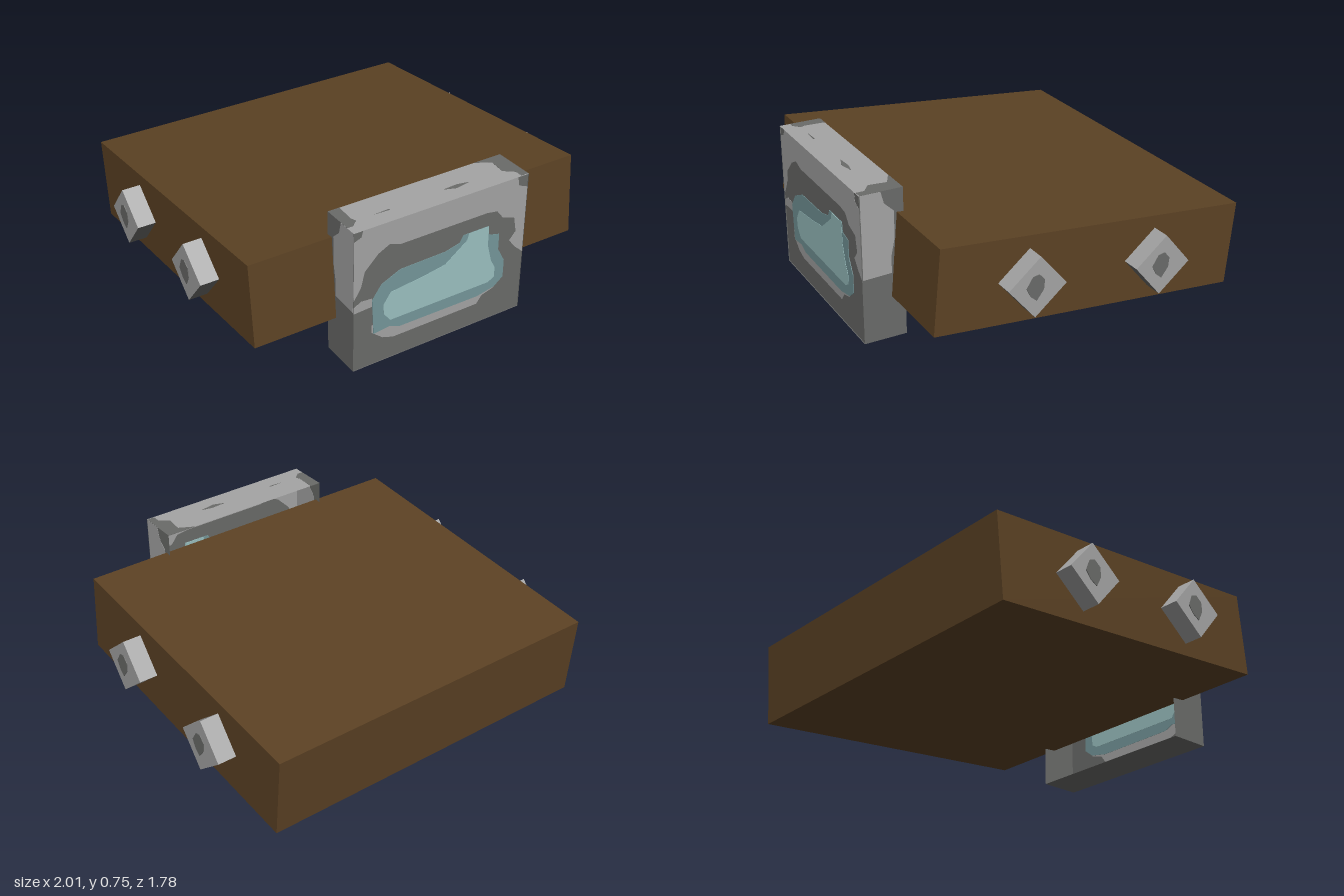
import * as THREE from 'three';

const mat = (name, color, side = THREE.FrontSide) => {
  const m = new THREE.MeshStandardMaterial({ color, side });
  m.name = name;
  return m;
};

export function createModel() {
  const brown = mat('brown', 0x5c4224);
  const light = mat('lightGrey', 0xa4a4a4, THREE.DoubleSide);
  const dark = mat('darkGrey', 0x6a6b69, THREE.DoubleSide);
  const teal = mat('teal', 0x75979a);
  const paleTeal = mat('paleTeal', 0x9bc1c1);

  const model = new THREE.Group();
  const add = (parent, name, geometry, material) => {
    const mesh = new THREE.Mesh(geometry, material);
    mesh.name = name;
    parent.add(mesh);
    return mesh;
  };
  // thin plate centred on its own plane, so it shows on both sides of a wall
  const plate = (points, thick) =>
    new THREE.ExtrudeGeometry(new THREE.Shape(points.map(p => new THREE.Vector2(...p))),
      { depth: thick, bevelEnabled: false }).translate(0, 0, -thick / 2);

  // tilted body with four diamond bolts
  const body = new THREE.Group();
  body.name = 'body';
  body.position.set(0, 0.355, -0.075);
  body.rotation.x = -0.0875;
  model.add(body);
  add(body, 'bodyBlock', new THREE.BoxGeometry(1.81, 0.421, 1.6), brown);
  const spot = [[0, 0.064], [0.03, 0.036], [0.03, -0.012], [-0.002, -0.064],
    [-0.036, -0.04], [-0.06, 0], [-0.032, 0.055]];
  for (const s of [-1, 1]) {
    for (const z of [0.35, -0.327]) {
      const bolt = new THREE.Group();
      bolt.name = 'bolt';
      bolt.position.set(s * 0.95, 0, z);
      body.add(bolt);
      const block = add(bolt, 'boltBlock', new THREE.BoxGeometry(0.1, 0.21, 0.21),
        [light, light, light, light, dark, light]);
      block.rotation.x = Math.PI / 4;
      const mark = add(bolt, 'boltSpot', plate(spot, 0.006), dark);
      mark.position.x = s * 0.05;
      mark.rotation.y = s * Math.PI / 2;
    }
  }

  // front panel: a shallow shell, open at the back
  const W = 0.96, H = 0.75, Z0 = 0.67, Z1 = 0.885, D = Z1 - Z0;
  const panel = new THREE.Group();
  panel.name = 'frontPanel';
  model.add(panel);
  const face = new THREE.Group();
  face.name = 'panelFace';
  face.position.z = Z1 - 0.004;
  panel.add(face);
  add(face, 'faceSheet', new THREE.PlaneGeometry(W, H).translate(0, H / 2, 0), dark);
  add(face, 'upperPatch', plate([[-0.43, 0.75], [0.42, 0.75], [0.43, 0.70], [0.48, 0.68],
    [0.48, 0.32], [0.43, 0.365], [0.395, 0.41], [0.43, 0.45], [0.415, 0.53], [0.345, 0.555],
    [0.31, 0.6], [0.25, 0.61], [-0.23, 0.61], [-0.29, 0.63], [-0.35, 0.6], [-0.42, 0.53],
    [-0.44, 0.45], [-0.48, 0.385], [-0.48, 0.70], [-0.44, 0.715]], 0.002), light);
  add(face, 'leftPatch', plate([[-0.48, 0.35], [-0.44, 0.375], [-0.38, 0.37], [-0.38, 0.325],
    [-0.48, 0.32]], 0.002), light);
  add(face, 'lowerPatch', plate([[-0.38, 0.18], [-0.32, 0.13], [-0.26, 0.11], [0.22, 0.11],
    [0.25, 0.15], [0.32, 0.17], [0.3, 0.22], [-0.38, 0.22]], 0.002), light);
  add(face, 'glowPatch', plate([[-0.38, 0.36], [-0.33, 0.43], [-0.23, 0.475], [0.02, 0.48],
    [0.1, 0.5], [0.12, 0.535], [0.265, 0.535], [0.27, 0.485], [0.33, 0.47], [0.33, 0.385],
    [0.37, 0.31], [0.37, 0.215], [0.32, 0.175], [0.22, 0.155], [-0.23, 0.158],
    [-0.28, 0.18], [-0.37, 0.17]], 0.005), teal);
  add(face, 'glowCore', plate([[-0.32, 0.31], [-0.28, 0.37], [-0.1, 0.39], [0.02, 0.41],
    [0.1, 0.47], [0.14, 0.5], [0.15, 0.535], [0.265, 0.535], [0.265, 0.43], [0.29, 0.335],
    [0.315, 0.29], [0.315, 0.235], [0.28, 0.215], [-0.28, 0.215], [-0.315, 0.26]], 0.008), paleTeal);

  // side walls with a light upper patch (patch x runs back to front)
  const sidePatch = [[0.88, 0.75], [0.78, 0.75], [0.765, 0.69], [0.718, 0.645], [0.718, 0.51],
    [0.737, 0.42], [0.737, 0.335], [0.88, 0.33]];
  for (const s of [-1, 1]) {
    const wall = new THREE.Group();
    wall.name = 'panelSide';
    wall.position.x = s * W / 2;
    wall.rotation.y = -Math.PI / 2;
    panel.add(wall);
    add(wall, 'sideSheet', new THREE.PlaneGeometry(D, H).translate((Z0 + Z1) / 2, H / 2, 0), dark);
    add(wall, 'sidePatch', plate(sidePatch, 0.002), light);
  }

  // top and bottom walls; top patches use (x, z) coordinates
  const top = new THREE.Group();
  top.name = 'panelTop';
  top.position.y = H;
  top.rotation.x = Math.PI / 2;
  panel.add(top);
  const sheet = () => new THREE.PlaneGeometry(W, D).translate(0, (Z0 + Z1) / 2, 0);
  add(top, 'topSheet', sheet(), light);
  const topPatches = [
    [[0.325, Z0], [0.4, 0.71], [0.39, 0.8], [0.44, 0.84], [0.44, 0.88], [0.48, 0.88], [0.48, Z0]],
    [[-0.48, Z0], [-0.42, Z0], [-0.425, 0.775], [-0.415, 0.8], [-0.45, 0.83], [-0.48, 0.83]],
    [[-0.32, 0.8], [-0.24, 0.796], [-0.24, 0.804]],
    [[0.06, 0.79], [0.14, 0.785], [0.2, 0.797], [0.12, 0.812]],
  ];
  for (const p of topPatches) add(top, 'topPatch', plate(p, 0.002), dark);
  const bottom = add(panel, 'panelBottom', sheet(), dark);
  bottom.rotation.x = Math.PI / 2;

  return model;
}
